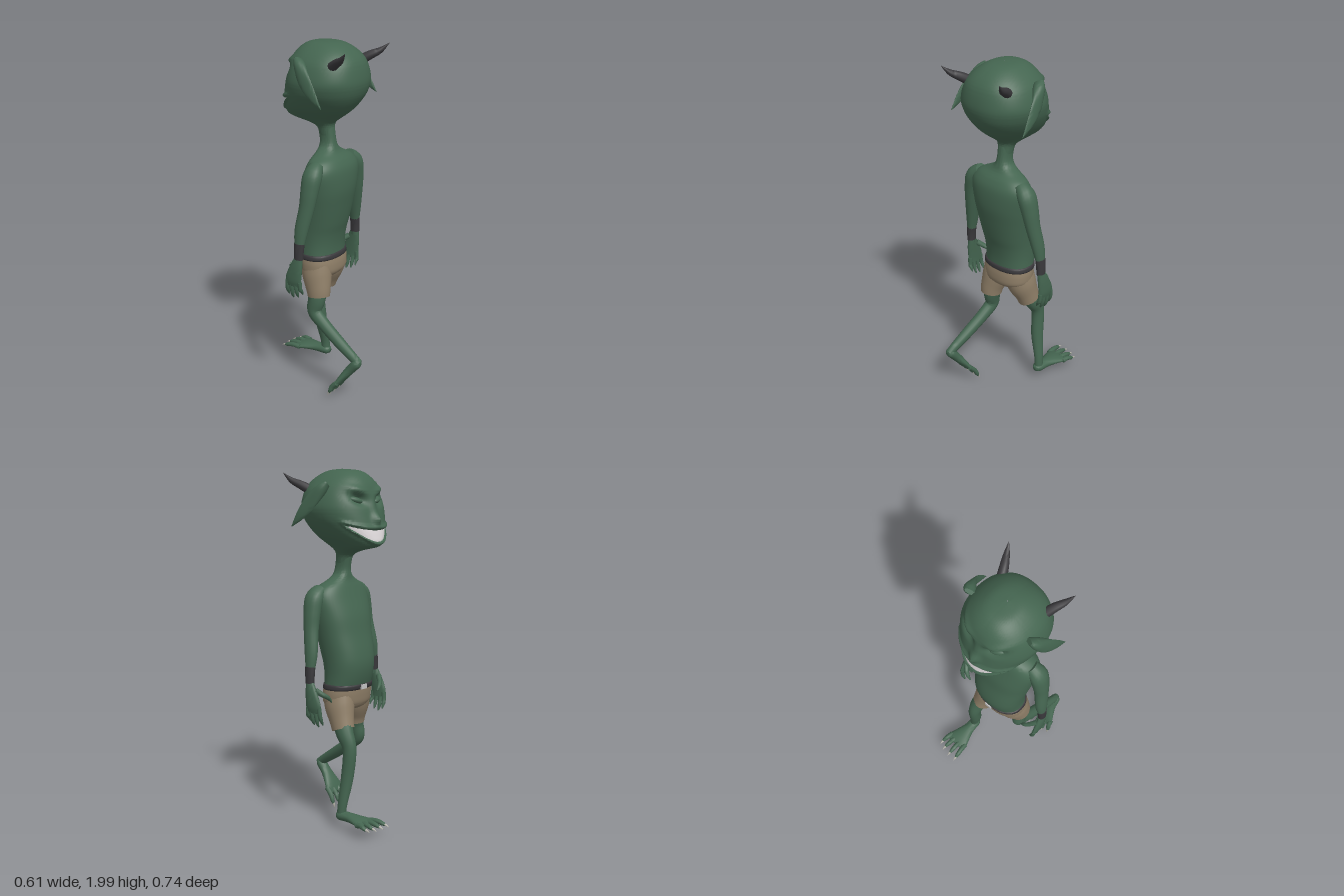
import * as THREE from 'three';
import { toCreasedNormals } from 'three/addons/utils/BufferGeometryUtils.js';

const material = (name, color) => {
  const m = new THREE.MeshStandardMaterial({ color });
  m.name = name;
  return m;
};

// Catmull-Rom through rows of numbers, t in 0..1
function spline(rows, t) {
  const n = rows.length - 1, f = Math.min(Math.max(t, 0), 1) * n;
  const i = Math.min(Math.floor(f), n - 1), k = f - i;
  const [a, b, c, d] = [-1, 0, 1, 2].map(o => rows[Math.min(Math.max(i + o, 0), n)]);
  return b.map((_, j) => b[j] + 0.5 * k * (c[j] - a[j] + k * (2 * a[j] - 5 * b[j] + 4 * c[j] - d[j]
    + k * (3 * (b[j] - c[j]) + d[j] - a[j]))));
}

// Surface from point(u, v), u and v in 0..1
function grid(name, mat, point, nu, nv) {
  const pos = [], index = [];
  for (let i = 0; i <= nv; i++) for (let j = 0; j <= nu; j++) {
    pos.push(...point(j / nu, i / nv));
    if (i < nv && j < nu) {
      const a = i * (nu + 1) + j, d = a + nu + 1;
      index.push(a, a + 1, d + 1, a, d + 1, d);
    }
  }
  let g = new THREE.BufferGeometry();
  g.setAttribute('position', new THREE.Float32BufferAttribute(pos, 3));
  g.setIndex(index);
  g = toCreasedNormals(g, 1.0);
  const mesh = new THREE.Mesh(g, mat);
  mesh.name = name;
  return mesh;
}

// Capped tube with elliptical section; rows: x, y, z, radius sideways, radius across
function sweep(name, mat, rows, nu = 16, seg = 5) {
  const nv = (rows.length - 1) * seg + 2;
  const X = new THREE.Vector3(1, 0, 0);
  return grid(name, mat, (u, v) => {
    const step = Math.round(v * nv), t = (step - 1) / (nv - 2);
    const p = spline(rows, t), q0 = spline(rows, Math.min(Math.max(t, 0), 0.99) - 0.01), q1 = spline(rows, Math.max(t, 0) + 0.01);
    const T = new THREE.Vector3(q1[0] - q0[0], q1[1] - q0[1], q1[2] - q0[2]).normalize();
    const S = X.clone().addScaledVector(T, -X.dot(T)).normalize();
    const B = T.clone().cross(S);
    const cap = step === 0 || step === nv ? 0 : 1, a = u * Math.PI * 2;
    return new THREE.Vector3(p[0], p[1], p[2])
      .addScaledVector(S, Math.max(p[3], 0.001) * cap * Math.cos(a))
      .addScaledVector(B, Math.max(p[4], 0.001) * cap * Math.sin(a)).toArray();
  }, nu, nv);
}

// Level section; row: y, half width, back z, front z; angle 0 is the face side
const squash = (c, e) => Math.sign(c) * Math.abs(c) ** e;
function section([y, w, back, front], a, push = 0, e = 0.88) {
  return [w * squash(Math.sin(a), e) + push * Math.sin(a), y,
    (back + front) / 2 - (back - front) / 2 * squash(Math.cos(a), e) - push * Math.cos(a)];
}
const body = (name, mat, rows, nv = 40, e = 0.88) =>
  grid(name, mat, (u, v) => section(spline(rows, v), (u - 0.5) * Math.PI * 2, 0, e), 48, nv);

const HEAD = [
  [2.0, 0.002, 0.035, 0.03], [1.992, 0.07, 0.10, -0.06], [1.97, 0.115, 0.155, -0.11],
  [1.93, 0.162, 0.205, -0.148], [1.88, 0.197, 0.235, -0.17], [1.80, 0.22, 0.25, -0.185],
  [1.74, 0.211, 0.24, -0.20], [1.69, 0.188, 0.215, -0.213], [1.64, 0.154, 0.175, -0.222],
  [1.605, 0.12, 0.135, -0.224], [1.58, 0.093, 0.10, -0.20], [1.555, 0.065, 0.07, -0.09],
  [1.53, 0.046, 0.063, -0.035], [1.48, 0.036, 0.068, -0.016]];
const MOUTH = 1.0; // half angle of the smile
const upperLip = a => 1.676 + 0.03 * (a / MOUTH) ** 2;
const lowerLip = a => 1.606 + 0.096 * (a / MOUTH) ** 2;
const bump = (d, r) => Math.exp(-((d / r) ** 2));

function facePush(a, x, y) {
  if (Math.cos(a) < 0.2) return 0;
  const ax = Math.abs(x);
  let d = 0.032 * bump(x, 0.025) * bump(y - 1.73, 0.032) + 0.012 * bump(x, 0.022) * bump(y - 1.80, 0.05);
  d -= 0.036 * bump(ax - 0.09, 0.045) * bump(y - 1.815 - ax * 0.25, 0.027);
  d += 0.014 * bump(ax - 0.085, 0.05) * bump(y - 1.865 - ax * 0.25, 0.02);
  const up = upperLip(a), lo = lowerLip(a), fade = 1 - THREE.MathUtils.smoothstep(Math.abs(a), 0.9, 1.15);
  d += fade * 0.011 * (bump(y - up - 0.01, 0.011) + bump(y - lo + 0.009, 0.01));
  const inside = Math.min(up - y, y - lo);
  if (inside > 0) d -= 0.016 * THREE.MathUtils.smoothstep(inside, 0, 0.012);
  return d;
}

function headRow(y) {
  let lo = 0, hi = 1;
  for (let i = 0; i < 24; i++) {
    const m = (lo + hi) / 2;
    if (spline(HEAD, m)[0] > y) lo = m; else hi = m;
  }
  return spline(HEAD, lo);
}

export function createModel() {
  const skin = material('green skin', 0x446550), cloth = material('tan cloth', 0x8f7f68);
  const dark = material('dark leather and horn', 0x39383b), tooth = material('tooth white', 0xe4dfe1);
  const claw = material('claw grey', 0xb4b2a8), metal = material('buckle metal', 0xc4c4c4);
  const model = new THREE.Group();
  model.name = 'hornedCreature';
  const add = (...m) => model.add(...m);

  // Head with sockets, nose and smile
  add(grid('head', skin, (u, v) => {
    const a = (u - 0.5) * Math.PI * 2, row = spline(HEAD, v);
    return section(row, a, facePush(a, section(row, a)[0], row[0]));
  }, 128, 110));
  add(grid('teeth', tooth, (u, v) => {
    const a = (u * 2 - 1) * MOUTH * 0.99;
    const y = THREE.MathUtils.lerp(upperLip(a) + 0.003, lowerLip(a) - 0.003, v);
    return section(headRow(y), a, -0.002);
  }, 40, 8));

  // Torso and neck
  add(body('torso', skin, [
    [1.53, 0.04, 0.064, -0.03], [1.46, 0.037, 0.075, -0.017], [1.42, 0.052, 0.085, -0.018],
    [1.39, 0.10, 0.10, -0.022], [1.355, 0.165, 0.135, -0.035], [1.30, 0.197, 0.16, -0.055],
    [1.2, 0.188, 0.165, -0.09], [1.1, 0.173, 0.15, -0.11], [1.0, 0.16, 0.13, -0.133],
    [0.93, 0.153, 0.112, -0.14], [0.86, 0.149, 0.102, -0.13], [0.78, 0.15, 0.10, -0.105]], 60));

  // Belt, buckle and shorts
  add(body('belt', dark, [[0.816, 0.146, 0.098, -0.112], [0.812, 0.154, 0.106, -0.122],
    [0.788, 0.157, 0.108, -0.117], [0.784, 0.15, 0.1, -0.11]], 9));
  const buckle = new THREE.Mesh(new THREE.BoxGeometry(0.045, 0.026, 0.009), metal);
  buckle.name = 'buckle';
  buckle.position.set(0, 0.8, -0.123);
  add(buckle);
  add(body('shortsSeat', cloth, [[0.795, 0.153, 0.104, -0.113], [0.75, 0.156, 0.11, -0.11],
    [0.70, 0.145, 0.105, -0.10], [0.67, 0.08, 0.07, -0.07], [0.66, 0.002, 0.01, 0]], 20));
  add(sweep('shortsLegForward', cloth, [[0.075, 0.75, 0, 0.075, 0.095], [0.086, 0.68, -0.02, 0.076, 0.088],
    [0.098, 0.61, -0.045, 0.064, 0.072], [0.103, 0.565, -0.06, 0.06, 0.066]], 24));
  add(sweep('shortsLegBack', cloth, [[-0.075, 0.75, 0, 0.075, 0.095], [-0.086, 0.68, 0.015, 0.076, 0.088],
    [-0.1, 0.61, 0.033, 0.064, 0.074], [-0.105, 0.565, 0.04, 0.058, 0.066]], 24));

  // Legs in mid stride
  add(sweep('legForward', skin, [[0.085, 0.66, -0.02, 0.055, 0.065], [0.115, 0.55, -0.08, 0.046, 0.054],
    [0.12, 0.46, -0.12, 0.036, 0.041], [0.128, 0.3, -0.11, 0.034, 0.037],
    [0.155, 0.15, -0.098, 0.024, 0.029], [0.158, 0.075, -0.092, 0.026, 0.026]]));
  add(sweep('legBack', skin, [[-0.085, 0.66, 0.02, 0.05, 0.065], [-0.11, 0.55, 0.03, 0.044, 0.053],
    [-0.12, 0.47, 0.022, 0.036, 0.044], [-0.127, 0.41, 0.09, 0.034, 0.037],
    [-0.14, 0.33, 0.21, 0.031, 0.033], [-0.15, 0.265, 0.315, 0.024, 0.027], [-0.15, 0.245, 0.345, 0.022, 0.023]]));

  // Feet: heel at the origin, toes towards -z
  const foot = (name, s) => {
    const g = new THREE.Group();
    g.name = name;
    g.add(sweep('sole', skin, [[0, 0.026, 0.008, 0.014, 0.014], [0, 0.028, -0.015, 0.031, 0.027],
      [0, 0.028, -0.08, 0.036, 0.026], [0, 0.025, -0.15, 0.058, 0.021],
      [0, 0.02, -0.19, 0.071, 0.017], [0, 0.018, -0.215, 0.066, 0.011]], 20));
    [[-0.056, -0.068, 0], [-0.018, -0.018, 0], [0.02, 0.032, 0.008], [0.056, 0.07, 0.025]].forEach(([x0, x1, back]) => {
      const at = k => s * (x0 + (x1 - x0) * k);
      g.add(sweep('toe', skin, [[at(0), 0.02, -0.18, 0.017, 0.015], [at(0.4), 0.024, -0.225 + back * 0.5, 0.015, 0.014],
        [at(0.8), 0.017, -0.262 + back, 0.013, 0.012], [at(0.95), 0.012, -0.28 + back, 0.007, 0.007]], 10, 3));
      g.add(sweep('toeClaw', claw, [[at(0.9), 0.015, -0.272 + back, 0.008, 0.007],
        [at(0.96), 0.012, -0.288 + back, 0.006, 0.005], [at(1), 0.003, -0.305 + back, 0.001, 0.001]], 8, 2));
    });
    add(g);
    return g;
  };
  foot('footForward', 1).position.set(0.157, 0.055, -0.07);
  const rear = foot('footBack', -1);
  rear.position.set(-0.153, 0.24, 0.365);
  rear.rotation.x = -0.88;

  for (const s of [1, -1]) {
    const side = s > 0 ? 'Left' : 'Right';
    const part = (name, mat, rows, nu, seg) =>
      add(sweep(name + side, mat, rows.map(([x, ...r]) => [s * x, ...r]), nu, seg));

    // Eyes
    const eye = new THREE.Mesh(new THREE.SphereGeometry(1, 20, 14), skin);
    eye.name = 'eye' + side;
    eye.scale.set(0.043, 0.017, 0.022);
    eye.position.set(s * 0.09, 1.832, -0.134);
    eye.rotation.set(0, -s * 0.45, s * 0.25);
    add(eye);

    // Drooping ears and horns
    part('ear', skin, [[0.19, 1.918, -0.025, 0.03, 0.012], [0.215, 1.887, 0, 0.032, 0.032],
      [0.248, 1.82, 0.05, 0.012, 0.041], [0.262, 1.75, 0.11, 0.008, 0.028], [0.267, 1.69, 0.168, 0.001, 0.002]]);
    part('horn', dark, [[0.14, 1.885, 0.145, 0.027, 0.027], [0.163, 1.912, 0.19, 0.024, 0.024],
      [0.19, 1.938, 0.237, 0.016, 0.016], [0.213, 1.978, 0.278, 0.001, 0.001]], 12);

    // Arms and wrist cuffs
    part('arm', skin, [[0.15, 1.345, 0.06, 0.035, 0.04], [0.198, 1.30, 0.065, 0.047, 0.056], [0.222, 1.22, 0.062, 0.043, 0.052],
      [0.238, 1.13, 0.055, 0.037, 0.045], [0.262, 1.0, 0.035, 0.03, 0.04],
      [0.276, 0.9, 0.03, 0.02, 0.027], [0.28, 0.82, 0.028, 0.017, 0.025]]);
    part('cuff', dark, [[0.274, 0.932, 0.031, 0.024, 0.031], [0.278, 0.885, 0.03, 0.022, 0.029],
      [0.279, 0.842, 0.03, 0.021, 0.028]], 20);

    // Hands
    part('palm', skin, [[0.28, 0.85, 0.03, 0.017, 0.024], [0.285, 0.79, 0.015, 0.018, 0.04],
      [0.287, 0.72, -0.002, 0.016, 0.052], [0.284, 0.682, -0.003, 0.012, 0.048]]);
    part('thumb', skin, [[0.278, 0.805, -0.01, 0.016, 0.018], [0.25, 0.78, -0.04, 0.013, 0.015],
      [0.225, 0.762, -0.057, 0.011, 0.012], [0.202, 0.735, -0.06, 0.004, 0.004]], 10, 3);
    [[0.037, 0.63], [0.011, 0.607], [-0.016, 0.6], [-0.042, 0.615]].forEach(([z, tip], i) =>
      part('finger' + (i + 1), skin, [[0.286, 0.71, z, 0.013, 0.014], [0.283, 0.665, z * 1.1, 0.012, 0.012],
        [0.274, tip + 0.025, z * 1.15, 0.01, 0.01], [0.262, tip, z * 1.15, 0.003, 0.003]], 10, 3));
  }
  return model;
}
